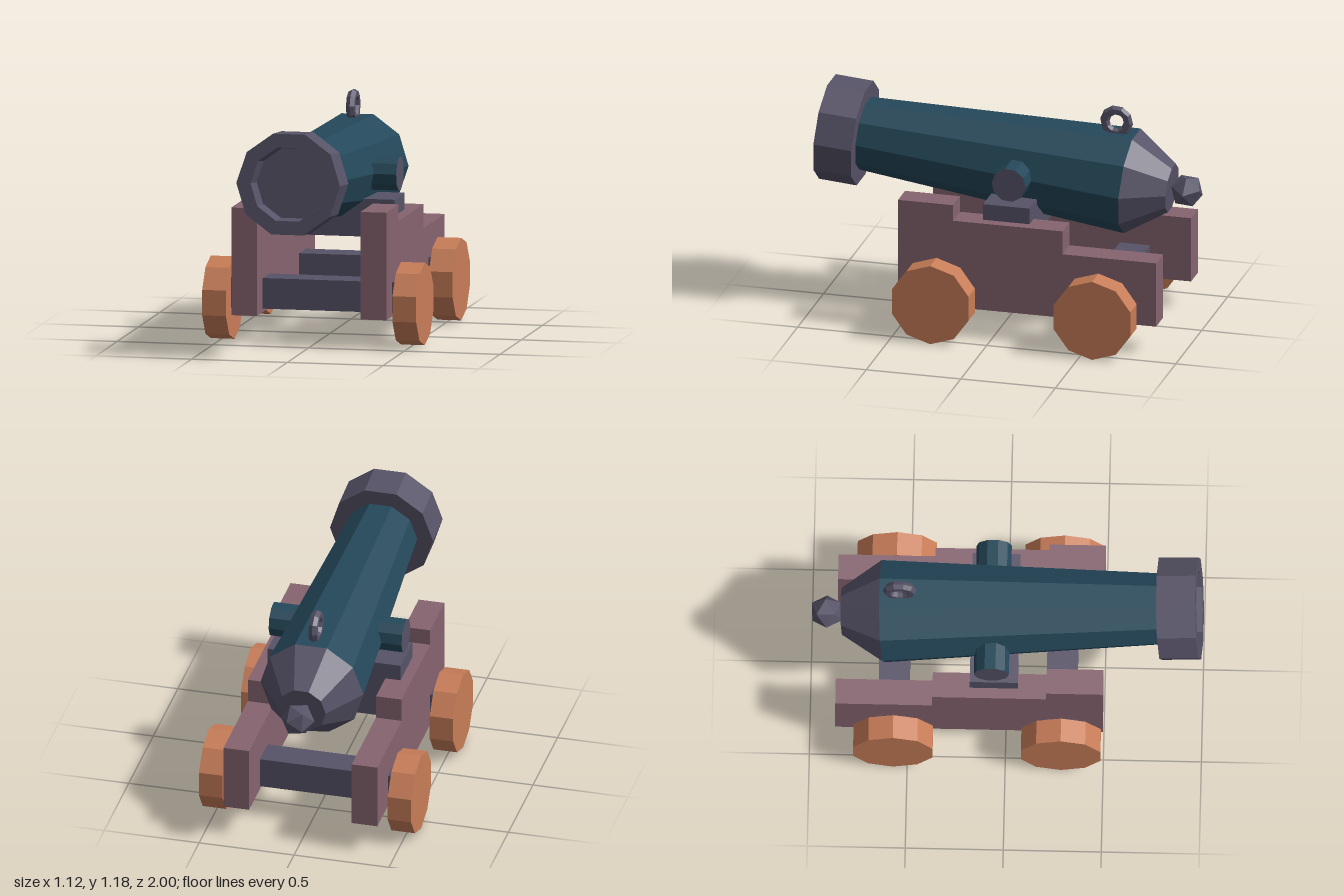
import * as THREE from 'three';

const SIDES = 10;

const colour = (name, color) => {
  const m = new THREE.MeshStandardMaterial({ color });
  m.name = name;
  return m;
};

// Split shared vertices so every face is shaded flat
function faceted(geometry) {
  const g = geometry.index ? geometry.toNonIndexed() : geometry;
  g.computeVertexNormals();
  return g;
}

export function createModel() {
  const teal = colour('teal metal', 0x24485a);
  const iron = colour('grey iron', 0x575368);
  const wood = colour('mauve wood', 0x86646f);
  const orange = colour('orange wood', 0xc87d58);

  const model = new THREE.Group();
  model.name = 'cannon';

  function add(parent, name, geometry, material, x = 0, y = 0, z = 0) {
    const mesh = new THREE.Mesh(faceted(geometry), material);
    mesh.name = name;
    mesh.position.set(x, y, z);
    parent.add(mesh);
    return mesh;
  }

  // Ten-sided turned shape along z; each profile point is [radius, z]
  function turned(profile) {
    const points = profile.map(([r, z]) => new THREE.Vector2(r, z));
    return new THREE.LatheGeometry(points, SIDES, Math.PI / 2).rotateX(Math.PI / 2);
  }

  // Barrel assembly, tilted slightly upward
  const gun = new THREE.Group();
  gun.name = 'gun';
  gun.position.y = 0.832;
  gun.rotation.x = -0.084;
  model.add(gun);

  add(gun, 'barrel', turned([[0.271, -0.635], [0.188, 0.79]]), teal);
  add(gun, 'breech', turned([[0, -0.845], [0.126, -0.845], [0.271, -0.635]]), iron);
  add(gun, 'muzzle', turned([
    [0.17, 0.783], [0.271, 0.783], [0.271, 0.983],
    [0.197, 0.983], [0.187, 0.88], [0, 0.88],
  ]), iron);

  // Faceted knob with a point toward each side
  const knob = new THREE.IcosahedronGeometry(0.088, 0);
  knob.rotateZ(-Math.atan2((1 + Math.sqrt(5)) / 2, 1));
  add(gun, 'knob', knob, iron, 0, 0, -0.925);

  // Lifting ring on top
  add(gun, 'liftingRing', new THREE.TorusGeometry(0.062, 0.025, 6, 10).rotateY(Math.PI / 2),
    iron, 0, 0.308, -0.526);

  // Trunnions with iron end faces
  add(gun, 'trunnions', new THREE.CylinderGeometry(0.09, 0.09, 0.7, SIDES).rotateZ(Math.PI / 2),
    [teal, iron, iron], 0, 0, -0.075);

  // Stepped carriage cheeks, profile in (-z, y)
  const profile = [
    [-0.495, 0.155], [0.87, 0.155], [0.87, 0.5], [0.375, 0.5],
    [0.375, 0.625], [-0.205, 0.625], [-0.205, 0.71], [-0.495, 0.71],
  ];
  const cheekShape = new THREE.Shape(profile.map(([a, b]) => new THREE.Vector2(a, b)));
  for (const [side, x] of [['left', 0.27], ['right', -0.405]]) {
    const cheek = new THREE.ExtrudeGeometry(cheekShape, { depth: 0.135, bevelEnabled: false });
    add(model, side + 'Cheek', cheek.rotateY(Math.PI / 2), wood, x);
  }

  // Cross bar carrying the barrel
  add(model, 'crossBar', new THREE.BoxGeometry(0.7, 0.195, 0.245), iron, 0, 0.6125, -0.0625);

  // Axles and wheels
  for (const [end, z] of [['front', 0.283], ['rear', -0.573]]) {
    add(model, end + 'Axle', new THREE.BoxGeometry(0.88, 0.158, 0.158), iron, 0, 0.252, z);
    for (const [side, s] of [['Left', 1], ['Right', -1]]) {
      const wheel = new THREE.CylinderGeometry(
        0.213, 0.213, 0.124, SIDES, 1, false, Math.PI / 2);
      add(model, end + side + 'Wheel', wheel.rotateZ(Math.PI / 2), orange, s * 0.497, 0.213, z);
    }
  }

  return model;
}
